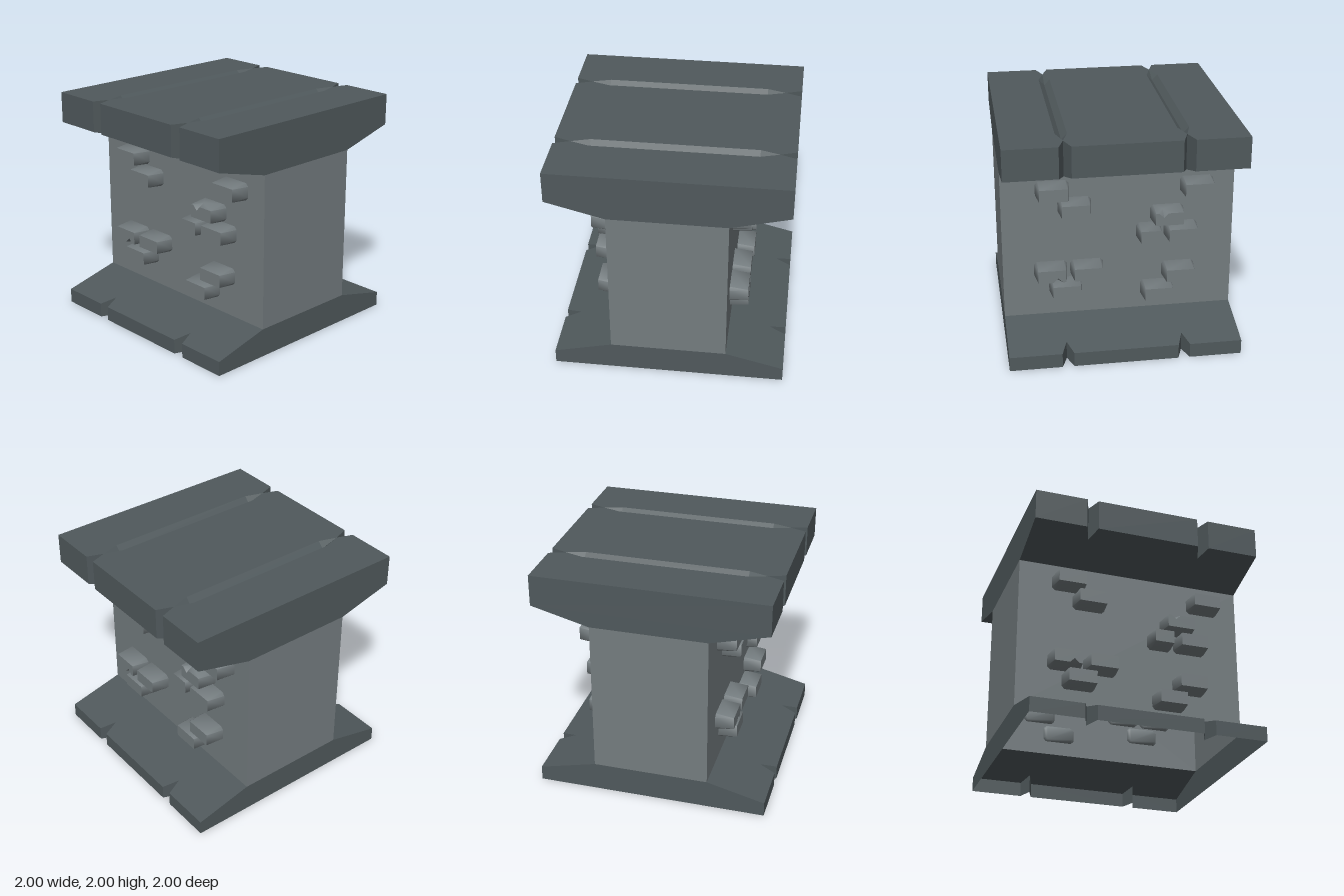
import * as THREE from 'three';
import { toCreasedNormals } from 'three/addons/utils/BufferGeometryUtils.js';

const slabMat = new THREE.MeshStandardMaterial({ color: 0x50595c, side: THREE.DoubleSide });
slabMat.name = 'dark slate';
const wallMat = new THREE.MeshStandardMaterial({ color: 0x747c7f, side: THREE.DoubleSide });
wallMat.name = 'grey stone';

// Collects flat convex polygons, given counter-clockwise from outside
class Faces {
  constructor() { this.p = []; }
  poly(...v) {
    for (let i = 1; i < v.length - 1; i++) this.p.push(...v[0], ...v[i], ...v[i + 1]);
  }
  // Possibly concave outline in 2D, lifted to 3D
  outline(pts, lift) {
    const flat = pts.map(([a, b]) => new THREE.Vector2(a, b));
    for (const t of THREE.ShapeUtils.triangulateShape(flat, [])) this.poly(...t.map(i => lift(pts[i])));
  }
  geometry() {
    const g = new THREE.BufferGeometry();
    g.setAttribute('position', new THREE.Float32BufferAttribute(this.p, 3));
    g.computeVertexNormals();
    return g;
  }
}

function mesh(geo, mat, name) {
  const m = new THREE.Mesh(geo, mat);
  m.name = name;
  return m;
}

const GROOVE = 0.5, HALF = 0.05, NOTCH = 0.86, NECK = 0.5;

// Flared slab: notched rims, slopes to the neck and trapezoid ends
function slabFaces(yFlat, yRim, yNeck) {
  const f = new Faces();
  const up = yFlat < yNeck;
  const add = (...v) => f.poly(...(up ? v : v.reverse()));
  const slopeY = z => yRim + (yNeck - yRim) * (1 - z) / (1 - NECK);
  const rim = [[-1, 1]];
  for (const g of [-GROOVE, GROOVE]) rim.push([g - HALF, 1], [g, NOTCH], [g + HALF, 1]);
  rim.push([1, 1]);
  for (const s of [1, -1]) {
    for (let i = 0; i < rim.length - 1; i++) {
      const [xa, za] = rim[i], [xb, zb] = rim[i + 1];
      const P = (x, y, z) => [s * x, y, s * z];
      add(P(xa, yFlat, za), P(xb, yFlat, zb), P(xb, slopeY(zb), zb), P(xa, slopeY(za), za));
      add(P(xa, slopeY(za), za), P(xb, slopeY(zb), zb), P(xb, yNeck, NECK), P(xa, yNeck, NECK));
    }
    add([s, yFlat, s], [s, yFlat, -s], [s, yRim, -s], [s, yNeck, -s * NECK], [s, yNeck, s * NECK], [s, yRim, s]);
  }
  return f;
}

// Three planks on the top, parted by two V grooves
function addPlanks(f, y) {
  const END = 0.7, DEPTH = 0.05;
  const edge = (g, s) => [[g + s * HALF, 1], [g, NOTCH], [g + s * HALF, END],
    [g + s * HALF, -END], [g, -NOTCH], [g + s * HALF, -1]];
  const lift = ([x, z]) => [x, y, z];
  const plank = pts => {
    const ccw = THREE.ShapeUtils.area(pts.map(([x, z]) => new THREE.Vector2(x, z))) > 0;
    const flat = pts.map(([x, z]) => new THREE.Vector2(x, z));
    for (const t of THREE.ShapeUtils.triangulateShape(flat, [])) {
      const v = t.map(i => lift(pts[i]));
      f.poly(...(ccw ? v.reverse() : v));
    }
  };
  plank([[-1, -1], [-1, 1], ...edge(-GROOVE, -1)]);
  plank([...edge(-GROOVE, 1).reverse(), ...edge(GROOVE, -1)]);
  plank([[1, -1], [1, 1], ...edge(GROOVE, 1)]);
  for (const g of [-GROOVE, GROOVE]) for (const s of [1, -1]) {
    const P = (x, d, z) => [g + s * x, y - d, s * z];
    f.poly(P(-HALF, 0, -END), P(-HALF, 0, END), P(0, DEPTH, END), P(0, DEPTH, -END));
    f.poly(P(-HALF, 0, END), P(0, 0, NOTCH), P(0, DEPTH, END));
    f.poly(P(0, DEPTH, END), P(0, 0, NOTCH), P(HALF, 0, END));
  }
}

// Tapered brick with cut corners; chip = [edge index, x offset] for a broken edge
function brickGeometry(w, h, chip) {
  const ring = (a, b, c, z) => [[a, c - b], [a, b - c], [a - c, b], [c - a, b],
    [-a, b - c], [-a, c - b], [c - a, -b], [a - c, -b]].map(([x, y]) => [x, y, z]);
  const back = ring(w / 2 - 0.015, h / 2 - 0.015, 0.02, 0.48);
  const base = ring(w / 2, h / 2, 0.026, 0.5);
  const front = ring(w / 2 - 0.022, h / 2 - 0.018, 0.003, 0.66);
  const f = new Faces();
  const face = [];
  for (let i = 0; i < 8; i++) {
    const j = (i + 1) % 8;
    f.poly(back[i], back[j], base[j], base[i]);
    face.push(front[i]);
    if (chip && chip[0] === i) {
      const d = Math.sign(front[j][0] - front[i][0]), x = chip[1], y = front[i][1];
      const p = [x - d * 0.04, y, 0.66], q = [x + d * 0.04, y, 0.66];
      const c = [x, y - Math.sign(y) * 0.04, 0.66];
      const e = [x, (base[i][1] + y) / 2, 0.58];
      f.poly(e, p, front[i], base[i], base[j], front[j], q);
      f.poly(p, e, c);
      f.poly(c, e, q);
      face.push(p, c, q);
    } else f.poly(base[i], base[j], front[j], front[i]);
  }
  f.outline(face, p => p);
  f.poly(...back.reverse());
  return toCreasedNormals(f.geometry(), 1.0);
}

// x, y, width, chip
const BRICKS = [
  [-0.565, 1.435, 0.285], [-0.378, 1.277, 0.285], [0.672, 1.41, 0.285],
  [0.418, 1.16, 0.285, [2, -0.05]], [0.262, 1.0, 0.215], [0.54, 1.0, 0.285],
  [-0.59, 0.685, 0.285, [6, 0.05]], [-0.277, 0.685, 0.285], [-0.463, 0.525, 0.285],
  [0.523, 0.615, 0.285], [0.337, 0.445, 0.285],
];

export function createModel() {
  const model = new THREE.Group();
  model.name = 'stoneWallBlock';

  // Open-bottomed foot and grooved cap
  model.add(mesh(slabFaces(0, 0.127, 0.25).geometry(), slabMat, 'foot'));
  const cap = slabFaces(2, 1.73, 1.6);
  addPlanks(cap, 2);
  model.add(mesh(cap.geometry(), slabMat, 'cap'));

  // Hollow wall core
  const core = new Faces();
  const c = [[-1, 0.5], [1, 0.5], [1, -0.5], [-1, -0.5]];
  c.forEach(([x, z], i) => {
    const [u, v] = c[(i + 1) % 4];
    core.poly([x, 0.25, z], [u, 0.25, v], [u, 1.6, v], [x, 1.6, z]);
  });
  model.add(mesh(core.geometry(), wallMat, 'wall'));

  // Same bricks on both faces, turned half way round for the back
  for (const side of ['front', 'back']) {
    const bricks = new THREE.Group();
    bricks.name = side + 'Bricks';
    for (const [x, y, w, chip] of BRICKS) {
      const b = mesh(brickGeometry(w, 0.148, chip), wallMat, 'brick');
      b.position.set(x, y, 0);
      bricks.add(b);
    }
    if (side === 'back') bricks.rotation.y = Math.PI;
    model.add(bricks);
  }
  return model;
}
